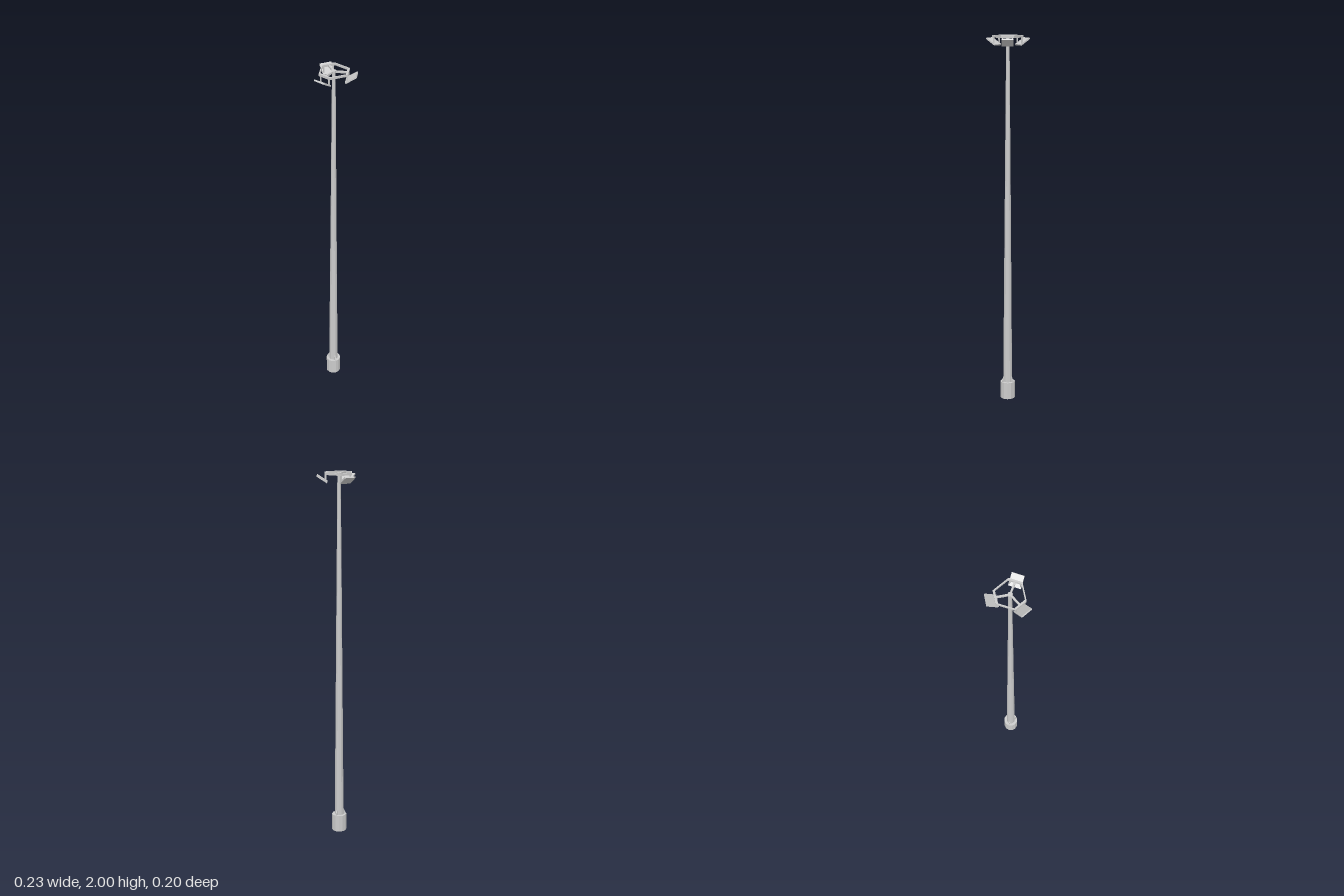
import * as THREE from 'three';

const THIRD = Math.PI * 2 / 3;

export function createModel() {
  const model = new THREE.Group();
  model.name = 'floodlightMast';
  const mat = new THREE.MeshStandardMaterial({ color: 0xcccccc, flatShading: true, side: THREE.DoubleSide });

  // Everything is arranged around the mast axis
  const mast = new THREE.Group();
  mast.name = 'mast';
  mast.position.z = -0.017;
  model.add(mast);

  const add = (parent, name, geometry, x, y, z) => {
    const mesh = new THREE.Mesh(geometry, mat);
    mesh.name = name;
    mesh.position.set(x, y, z);
    parent.add(mesh);
    return mesh;
  };

  // Footing and tapered pole
  add(mast, 'footing', new THREE.CylinderGeometry(0.04, 0.04, 0.094, 12), 0, 0.047, 0);
  add(mast, 'pole', new THREE.CylinderGeometry(0.009, 0.025, 1.904, 12), 0, 1.042, 0);
  add(mast, 'poleCap', new THREE.CylinderGeometry(0.012, 0.012, 0.012, 12), 0, 1.993, 0);

  // Six-sided ring: three short sides at distance d, three long sides at distance l
  const hexagon = (d, l) => {
    const t = (l - d / 2) / Math.sin(Math.PI / 3);
    const points = [];
    for (let i = 0; i < 3; i++) {
      for (const x of [t, -t]) {
        points.push(new THREE.Vector2(x, d).rotateAround(new THREE.Vector2(), i * THIRD));
      }
    }
    return points;
  };
  const ringShape = new THREE.Shape(hexagon(0.075, 0.067));
  ringShape.holes.push(new THREE.Path(hexagon(0.065, 0.061)));
  const ringGeometry = new THREE.ExtrudeGeometry(ringShape, { depth: 0.012, bevelEnabled: false });
  ringGeometry.rotateX(Math.PI / 2);
  add(mast, 'ring', ringGeometry, 0, 2, 0);

  // Triangular stiffener between pole foot and footing
  const ribShape = new THREE.Shape([[0.02, 0], [0.036, 0], [0.036, 0.006], [0.026, 0.028], [0.02, 0.028]]
    .map(([x, y]) => new THREE.Vector2(x, y)));
  const ribGeometry = new THREE.ExtrudeGeometry(ribShape, { depth: 0.006, bevelEnabled: false });
  ribGeometry.translate(0, 0, -0.003).rotateY(Math.PI / 2);

  // Three identical sectors: spoke, lamp with its brackets, and foot rib
  for (let i = 0; i < 3; i++) {
    const sector = new THREE.Group();
    sector.name = 'lampSector' + (i + 1);
    sector.rotation.y = i * THIRD;
    mast.add(sector);

    add(sector, 'spoke', new THREE.BoxGeometry(0.009, 0.01, 0.062), 0, 1.993, 0.036);
    for (const x of [-0.026, 0.026]) {
      add(sector, 'lampBracket', new THREE.BoxGeometry(0.004, 0.034, 0.008), x, 1.973, 0.07);
    }
    const lamp = add(sector, 'lamp', new THREE.BoxGeometry(0.062, 0.008, 0.064), 0, 1.966, 0.088);
    lamp.rotation.x = -0.576;

    add(sector, 'footRib', ribGeometry, 0, 0.094, 0);
  }
  return model;
}
